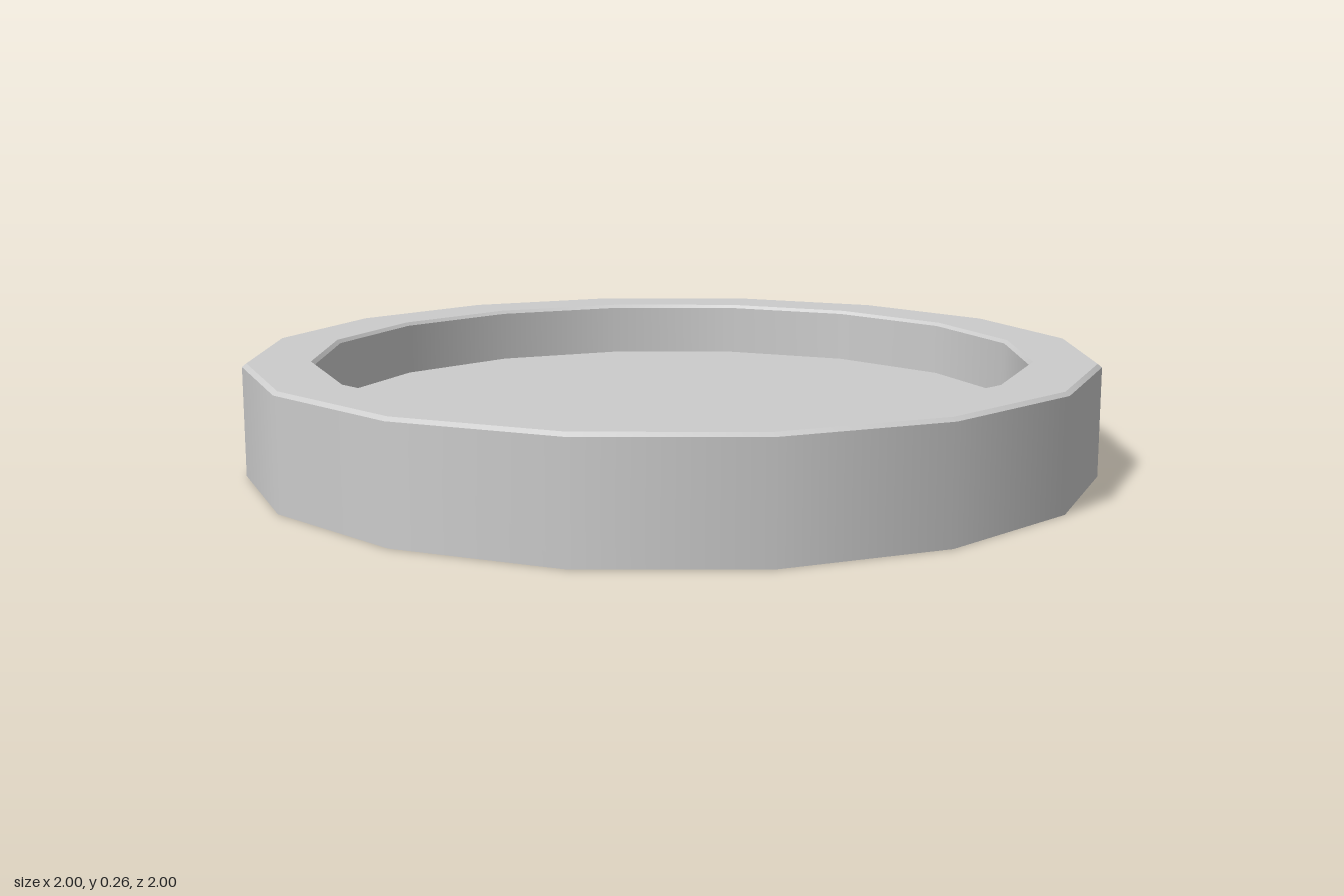
import * as THREE from 'three';

const SIDES = 16;

export function createModel() {
  const group = new THREE.Group();
  group.name = 'roundTray';
  const material = new THREE.MeshStandardMaterial({ color: 0xcccccc, side: THREE.DoubleSide });

  // Open-bottomed thin shell: radius and height from the outer foot to the floor centre
  const profile = [
    [1.0, 0], [1.0, 0.255], [0.99, 0.263],
    [0.845, 0.263], [0.837, 0.255], [0.837, 0.13], [0, 0.13],
  ].map(([r, y]) => new THREE.Vector2(r, y));

  // One band per profile step, smooth around the ring with crisp edges between bands
  const names = ['outerWall', 'outerBevel', 'rim', 'innerBevel', 'innerWall', 'floor'];
  names.forEach((name, i) => {
    const band = new THREE.Mesh(new THREE.LatheGeometry([profile[i], profile[i + 1]], SIDES), material);
    band.name = name;
    group.add(band);
  });
  return group;
}
